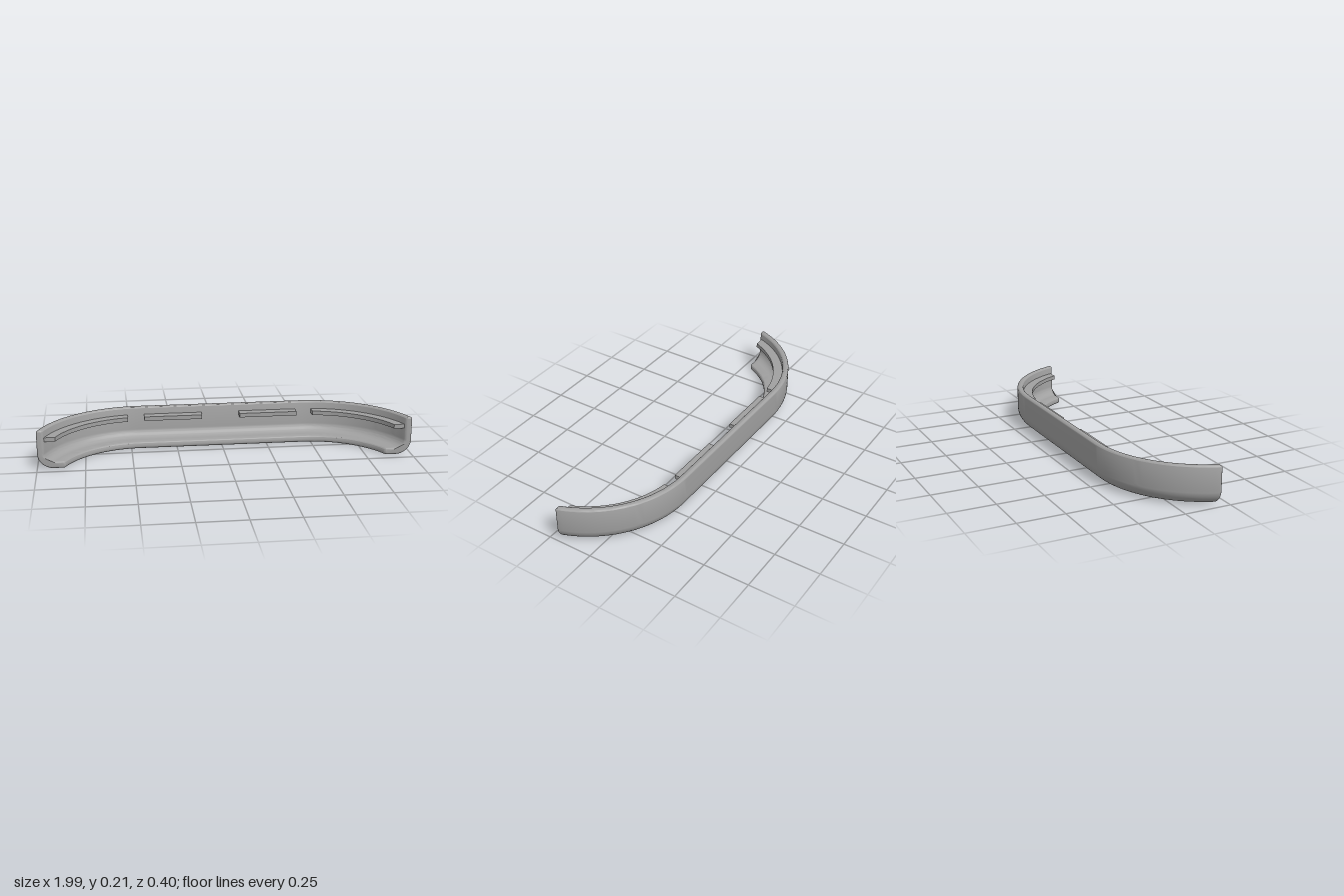
import * as THREE from 'three';
import { toCreasedNormals } from 'three/addons/utils/BufferGeometryUtils.js';

// Plan path of the outer wall: straight middle, then an arc at each end
const X0 = 0.45, R = 0.578, CZ = -0.2 + R, END = 0.2, BEVEL = 0.01;

// Angle at which the offset arc (d inside the outer wall) meets a z or x plane
const angleAtZ = (d, z) => Math.acos((CZ - z) / (R - d));
const angleAtX = (d, x) => Math.asin((x - X0) / (R - d));

const onArc = (side, d, y, a) =>
  new THREE.Vector3(side * (X0 + (R - d) * Math.sin(a)), y, CZ - (R - d) * Math.cos(a));

// Skin a list of rings running towards +x and cap both ends
function loft(rings, profile) {
  const n = profile.length, last = (rings.length - 1) * n, index = [];
  for (let i = 0; i < rings.length - 1; i++) {
    for (let j = 0; j < n; j++) {
      const a = i * n + j, a2 = i * n + (j + 1) % n;
      index.push(a, a + n, a2, a2, a + n, a2 + n);
    }
  }
  for (const [p, q, r] of THREE.ShapeUtils.triangulateShape(profile, [])) {
    index.push(p, q, r, last + p, last + r, last + q);
  }
  const geometry = new THREE.BufferGeometry().setFromPoints(rings.flat());
  geometry.setIndex(index);
  return toCreasedNormals(geometry, 0.55);
}

// Wall and lip cross-section: x is the distance inwards, y is the height
function shellProfile() {
  const q = Math.PI / 2, s = new THREE.Shape();
  s.moveTo(0.08, 0);
  s.absarc(0.124, 0.012, 0.012, -q, 0, false);
  s.absarc(0.124, 0.024, 0.012, 0, q, false);
  s.absarc(0.084, 0.086, 0.05, -q, -2 * q, true);
  s.absarc(0.022, 0.196, 0.012, 0, q, false);
  s.absarc(0.012, 0.196, 0.012, q, 2 * q, false);
  s.absarc(0.08, 0.08, 0.08, 2 * q, 3 * q, false);
  const pts = s.getPoints(7);
  return pts.filter((p, i) => p.distanceTo(pts[(i + 1) % pts.length]) > 1e-5);
}

// Shrink a counter-clockwise profile by b
function inset(profile, b) {
  const n = profile.length;
  return profile.map((p, i) => {
    const e1 = p.clone().sub(profile[(i + n - 1) % n]).normalize();
    const e2 = profile[(i + 1) % n].clone().sub(p).normalize();
    const t = e1.add(e2).normalize();
    return new THREE.Vector2(p.x - t.y * b, p.y + t.x * b);
  });
}

function shellGeometry() {
  const profile = shellProfile(), steps = 28, half = [];
  for (let i = 0; i <= steps; i++) {
    half.push(side => profile.map(p =>
      onArc(side, p.x, p.y, angleAtZ(p.x, END - BEVEL) * i / steps)));
  }
  // Rounded end edges
  for (let k = 1; k <= 4; k++) {
    const f = k / 4 * Math.PI / 2;
    const ring = inset(profile, BEVEL * (1 - Math.cos(f)));
    const z = END - BEVEL * (1 - Math.sin(f));
    half.push(side => ring.map(p => onArc(side, p.x, p.y, angleAtZ(p.x, z))));
  }
  const left = half.map(f => f(1)), right = half.map(f => f(-1)).reverse();
  return loft([...right, ...left], profile);
}

// Curved rib following the inside of an end arc
function curvedRibGeometry(side) {
  const profile = [[0.028, 0.143], [0.087, 0.143], [0.087, 0.166], [0.028, 0.166]]
    .map(p => new THREE.Vector2(...p));
  const rings = [], steps = 24;
  for (let i = 0; i <= steps; i++) {
    rings.push(profile.map(p => onArc(side, p.x, p.y,
      THREE.MathUtils.lerp(angleAtX(p.x, 0.515), angleAtZ(p.x, 0.187), i / steps))));
  }
  return loft(side > 0 ? rings : rings.reverse(), profile);
}

export function createModel() {
  const group = new THREE.Group();
  group.name = 'curvedGuard';
  const grey = new THREE.MeshStandardMaterial({ color: 0xa0a0a0 });
  grey.name = 'grey';
  const add = (name, geometry) => {
    const mesh = new THREE.Mesh(geometry, grey);
    mesh.name = name;
    group.add(mesh);
    return mesh;
  };

  add('shell', shellGeometry());
  for (const side of [1, -1]) {
    const label = side > 0 ? 'left' : 'right';
    add(label + 'CurvedRib', curvedRibGeometry(side));
    add(label + 'StraightRib', new THREE.BoxGeometry(0.32, 0.023, 0.059))
      .position.set(side * 0.265, 0.1545, -0.1425);
  }
  return group;
}
